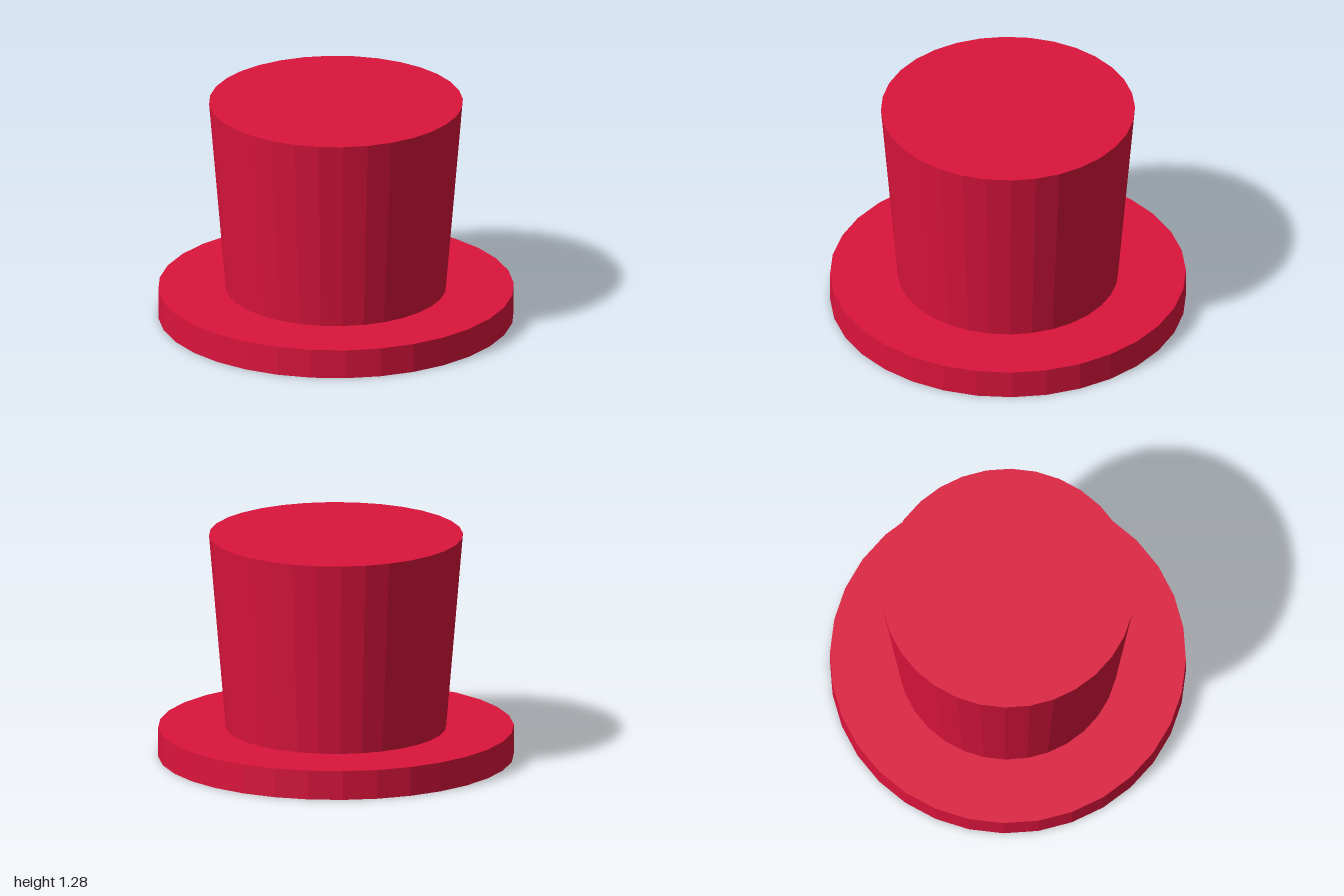
import * as THREE from 'three';

const SIDES = 32;

export function createModel() {
  const hat = new THREE.Group();
  hat.name = 'topHat';
  const felt = new THREE.MeshStandardMaterial({ color: 0xdc143c, flatShading: true });

  // Round faceted section standing between two heights
  function addSection(name, bottomRadius, topRadius, bottom, top) {
    const geometry = new THREE.CylinderGeometry(topRadius, bottomRadius, top - bottom, SIDES);
    const mesh = new THREE.Mesh(geometry, felt);
    mesh.name = name;
    mesh.position.y = (bottom + top) / 2;
    hat.add(mesh);
  }

  // Flat disc brim, and a crown that flares towards its top
  addSection('brim', 1, 1, 0, 0.167);
  addSection('crown', 0.62, 0.714, 0.167, 1.28);

  return hat;
}
